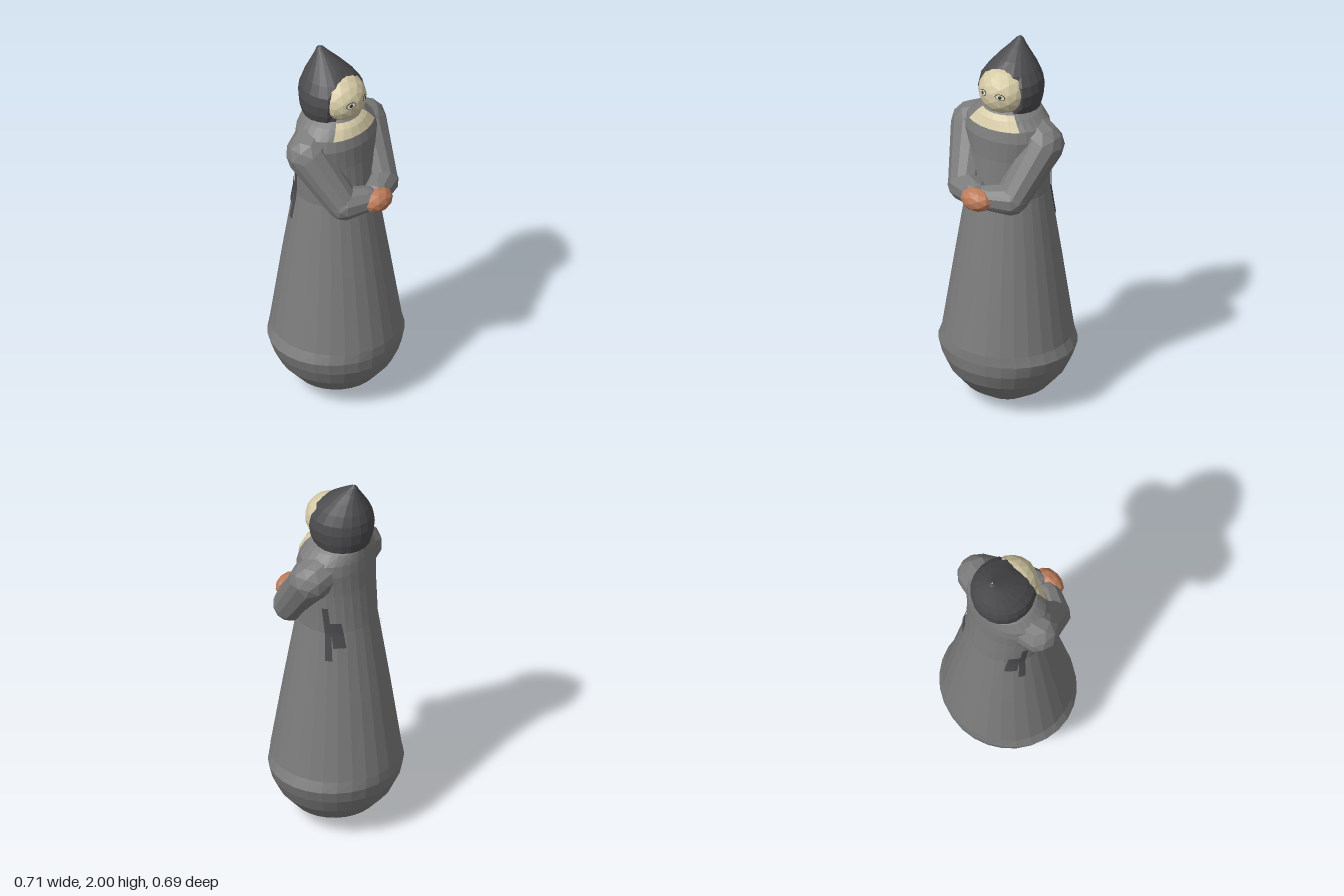
import * as THREE from 'three';
import { ConvexGeometry } from 'three/addons/geometries/ConvexGeometry.js';

const mat = (name, color) => new THREE.MeshStandardMaterial({ name, color, flatShading: true });

// Surface grid from point(u, v), u running around and v running up
function grid(point, nu, nv) {
  const pos = [], idx = [];
  for (let j = 0; j <= nv; j++)
    for (let i = 0; i <= nu; i++) pos.push(...point(i / nu, j / nv));
  for (let j = 0; j < nv; j++)
    for (let i = 0; i < nu; i++) {
      const a = j * (nu + 1) + i, b = a + nu + 1;
      idx.push(a, a + 1, b + 1, a, b + 1, b);
    }
  const g = new THREE.BufferGeometry();
  g.setAttribute('position', new THREE.Float32BufferAttribute(pos, 3));
  g.setIndex(idx);
  g.computeVertexNormals();
  return g;
}

// Point on an elliptical section [y, rx, zBack, zFront]
function ringPoint([y, rx, zb, zf], a, offset = 0) {
  return [Math.sin(a) * (rx + offset), y, (zb + zf) / 2 + Math.cos(a) * ((zf - zb) / 2 + offset)];
}

const loft = (rings, sides) => grid(
  (u, v) => ringPoint(rings[Math.round(v * (rings.length - 1))], u * Math.PI * 2), sides, rings.length - 1);

// Robe sections, from the rounded base to the collar
const ROBE = [
  [0, 0.005, -0.005, 0.005], [0.025, 0.11, -0.11, 0.11], [0.09, 0.215, -0.21, 0.21],
  [0.18, 0.295, -0.29, 0.285], [0.26, 0.335, -0.328, 0.32], [0.325, 0.357, -0.34, 0.328],
  [0.38, 0.333, -0.338, 0.327], [0.8, 0.271, -0.277, 0.258], [1.2, 0.211, -0.213, 0.188],
  [1.42, 0.222, -0.192, 0.172], [1.53, 0.235, -0.188, 0.172], [1.59, 0.22, -0.184, 0.158],
  [1.64, 0.165, -0.178, 0.135], [1.68, 0.1, -0.14, 0.09],
];

// Robe section at any height
function robeAt(y) {
  const k = Math.max(1, ROBE.findIndex(r => r[0] >= y));
  const a = ROBE[k - 1], b = ROBE[k], t = (y - a[0]) / (b[0] - a[0]);
  return a.map((n, i) => n + (b[i] - n) * t);
}

// Thin coloured panel lying just outside the robe; angles in degrees
const robePatch = (a0, a1, y0, y1, lean = 0) => grid((u, v) => ringPoint(
  robeAt(y0 + (y1 - y0) * v), THREE.MathUtils.degToRad(a0 + (a1 - a0) * u + lean * (1 - v)), 0.006), 6, 6);

// Limb segment: hull around two faceted balls [x, y, z, radius]
function limb(...balls) {
  const pts = [];
  for (const [x, y, z, r] of balls) {
    const p = new THREE.IcosahedronGeometry(r, 1).attributes.position;
    for (let i = 0; i < p.count; i++)
      pts.push(new THREE.Vector3().fromBufferAttribute(p, i).add(new THREE.Vector3(x, y, z)));
  }
  return new ConvexGeometry(pts);
}

export function createModel() {
  const group = new THREE.Group();
  group.name = 'hoodedFigure';
  const robe = mat('robeGrey', 0x7c7c7c);
  const dark = mat('hoodGrey', 0x4c4b4e);
  const skin = mat('paleFace', 0xd5caa5);
  const handSkin = mat('handBrown', 0xbd7c5a);
  const white = mat('eyeWhite', 0xe6e0c8);
  const pupil = mat('pupilDark', 0x3a3a3a);
  const add = (name, geometry, material, parent = group) => {
    const m = new THREE.Mesh(geometry, material);
    m.name = name;
    parent.add(m);
    return m;
  };

  // Long robe with rounded base
  add('robe', loft(ROBE, 28), robe);

  // Hood, cut off flat behind the face and drawn to a peak at the back
  const hood = loft([
    [1.62, 0.1, -0.16, 0.05], [1.65, 0.145, -0.188, 0.1], [1.7, 0.16, -0.203, 0.125],
    [1.76, 0.166, -0.209, 0.135], [1.81, 0.156, -0.204, 0.125], [1.86, 0.125, -0.188, 0.085],
    [1.91, 0.085, -0.164, 0.02], [1.955, 0.044, -0.145, -0.045], [1.985, 0.02, -0.135, -0.092],
    [2, 0.003, -0.121, -0.113],
  ], 20);
  const hp = hood.attributes.position;
  for (let i = 0; i < hp.count; i++) hp.setZ(i, Math.min(hp.getZ(i), 0.072));
  hood.computeVertexNormals();
  add('hood', hood, dark);

  // Face set into the hood opening
  const face = add('face', new THREE.IcosahedronGeometry(1, 2), skin);
  face.scale.set(0.132, 0.125, 0.126);
  face.position.set(0, 1.76, 0.03);

  // Bare neck at the collar
  add('neck', robePatch(-42, 42, 1.59, 1.66), skin);

  // Clasped hands
  const hands = add('hands', new THREE.IcosahedronGeometry(1, 1), handSkin);
  hands.scale.set(0.088, 0.062, 0.062);
  hands.position.set(0, 1.243, 0.283);

  for (const [side, s] of [['left', 1], ['right', -1]]) {
    // Folded sleeves
    add(side + 'UpperSleeve', limb([s * 0.21, 1.495, -0.005, 0.11], [s * 0.14, 1.24, 0.175, 0.085]), robe);
    add(side + 'Forearm', limb([s * 0.14, 1.24, 0.18, 0.085], [s * 0.04, 1.246, 0.237, 0.068]), robe);
    // Shoulder slope running from the collar
    add(side + 'Shoulder', limb([s * 0.21, 1.495, -0.005, 0.11], [s * 0.1, 1.54, -0.04, 0.105]), robe);

    // Dark marks on the robe behind the elbows
    const a = (lo, hi) => s > 0 ? [lo, hi] : [360 - hi, 360 - lo];
    add(side + 'LongMark', robePatch(...a(109, 118), 1.05, 1.35, s * 4), dark);
    add(side + 'ShortMark', robePatch(...a(118, 135), 1.12, 1.26, s * 5), dark);

    // Eye with pupil, as thin discs
    const eye = new THREE.Group();
    eye.name = side + 'Eye';
    eye.position.set(s * 0.05, 1.777, 0.145);
    eye.rotation.set(-0.1, s * 0.4, s * -0.2);
    add('eyeRim', new THREE.CircleGeometry(0.028, 10), pupil, eye).scale.y = 0.62;
    const ball = add('eyeWhite', new THREE.CircleGeometry(0.024, 10), white, eye);
    ball.scale.y = 0.6;
    ball.position.z = 0.002;
    add('pupil', new THREE.CircleGeometry(0.01, 8), pupil, eye).position.z = 0.004;
    group.add(eye);
  }
  return group;
}
